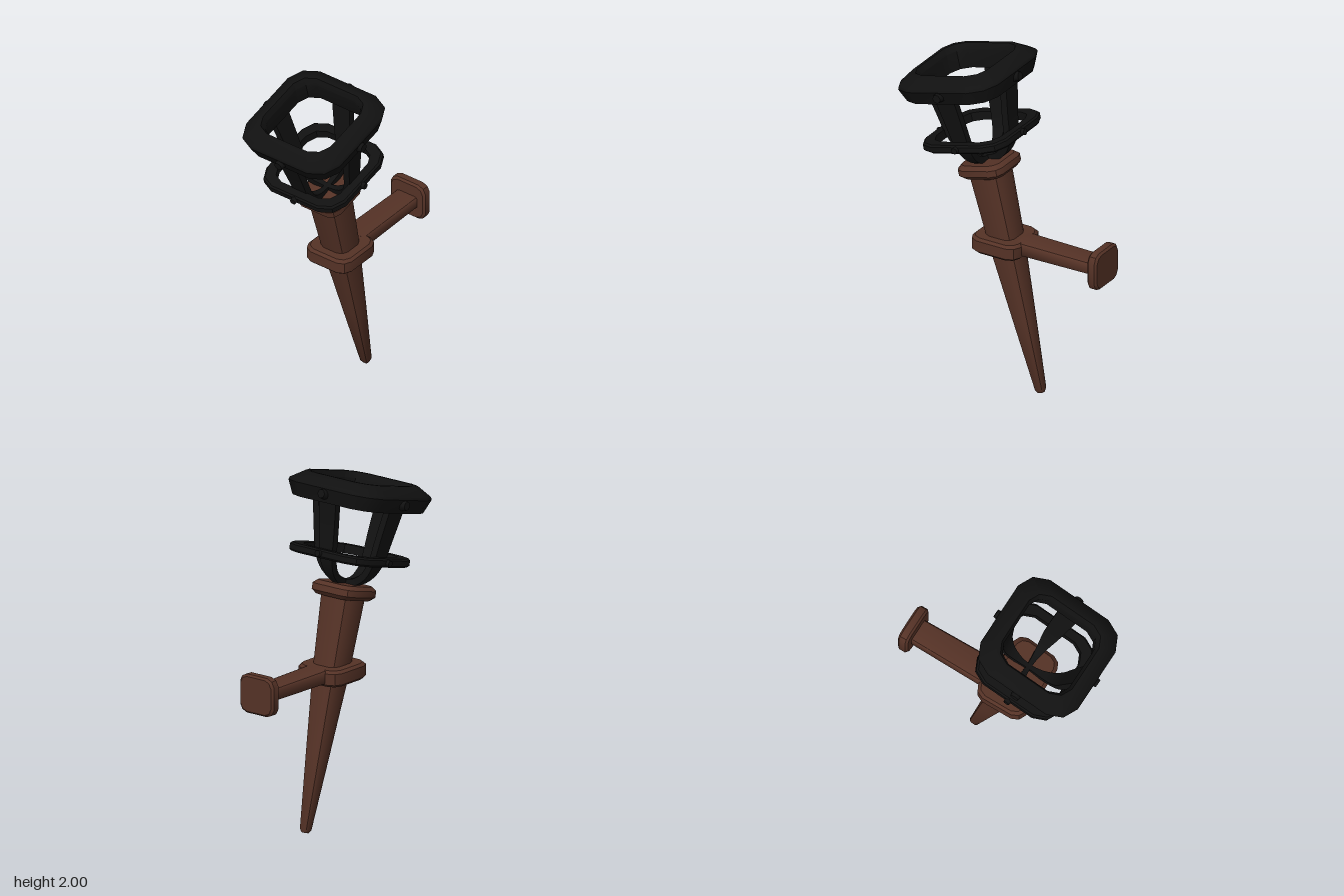
import * as THREE from 'three';
import { toCreasedNormals } from 'three/addons/utils/BufferGeometryUtils.js';

const wood = new THREE.MeshStandardMaterial({ color: 0x553226 });
const iron = new THREE.MeshStandardMaterial({ color: 0x111111 });

// Skin a list of equally sized cross-section loops
function skin(loops) {
  const n = loops[0].length, pos = [], index = [];
  loops.forEach(loop => loop.forEach(p => pos.push(p.x, p.y, p.z)));
  for (let i = 0; i < loops.length - 1; i++) {
    for (let j = 0; j < n; j++) {
      const k = (j + 1) % n, a = i * n + j, b = i * n + k;
      index.push(a, b, b + n, a, b + n, a + n);
    }
  }
  const g = new THREE.BufferGeometry();
  g.setAttribute('position', new THREE.Float32BufferAttribute(pos, 3));
  g.setIndex(index);
  return toCreasedNormals(g, 0.65);
}

// Square outline with two-step chamfered corners; c is the flat share of a side
function square(y, half, c = 0.6) {
  const m = c + (1 - c) * 0.68, pts = [];
  for (let q = 0; q < 4; q++) {
    const a = q * Math.PI / 2;
    for (const [x, z] of [[-c, 1], [c, 1], [m, m]]) {
      pts.push(new THREE.Vector3(
        half * (x * Math.cos(a) + z * Math.sin(a)), y,
        half * (z * Math.cos(a) - x * Math.sin(a))));
    }
  }
  return pts;
}

// Loft along y from [y, half width, flat share] entries
const loft = profile => skin(profile.map(s => square(...s)));

// Solid block with bevelled rims
const block = (y0, y1, half, bevel, c) => loft([
  [y0, 0, c], [y0, half - bevel, c], [y0 + bevel, half, c],
  [y1 - bevel, half, c], [y1, half - bevel, c], [y1, 0, c]]);

function add(parent, name, geometry, material) {
  const mesh = new THREE.Mesh(geometry, material);
  mesh.name = name;
  parent.add(mesh);
  return mesh;
}

// Curved cage strap, narrow at the bottom; curve points are (half width, y, z)
function strapGeometry() {
  const curve = new THREE.CatmullRomCurve3([
    [0.012, 1.405, -0.01], [0.018, 1.42, 0.07], [0.032, 1.47, 0.145], [0.045, 1.55, 0.19],
    [0.053, 1.68, 0.218], [0.062, 1.89, 0.262],
  ].map(p => new THREE.Vector3(...p)));
  const loops = [], thick = 0.02;
  for (let i = 0; i <= 16; i++) {
    const p = curve.getPoint(i / 16), t = curve.getTangent(i / 16);
    const l = Math.hypot(t.y, t.z), ny = -t.z / l * thick, nz = t.y / l * thick;
    loops.push([[1, 1], [1, -1], [-1, -1], [-1, 1]].map(([s, o]) =>
      new THREE.Vector3(s * p.x, p.y + o * ny, p.z + o * nz)));
  }
  // close both ends
  const cap = loop => {
    const c = new THREE.Vector3();
    loop.forEach(v => c.addScaledVector(v, 0.25));
    return loop.map(() => c);
  };
  return skin([cap(loops[0]), ...loops, cap(loops[16])]);
}

export function createModel() {
  const model = new THREE.Group();
  model.name = 'wallTorch';

  // Torch leaning forward from the wall
  const torch = new THREE.Group();
  torch.name = 'torch';
  torch.position.set(0, 0.008, -0.19);
  torch.rotation.x = 0.25;
  model.add(torch);

  add(torch, 'handle', loft([
    [0, 0, 0.45], [0, 0.018, 0.45], [0.02, 0.028, 0.45], [0.45, 0.057, 0.48],
    [0.9, 0.086, 0.5], [1.36, 0.104, 0.5], [1.36, 0, 0.5]]), wood);
  add(torch, 'handleCollar', block(1.325, 1.405, 0.145, 0.022, 0.6), wood);

  // Iron basket
  const basket = new THREE.Group();
  basket.name = 'basket';
  torch.add(basket);
  add(basket, 'topRing', loft([
    [1.85, 0.225], [1.85, 0.298], [1.93, 0.327], [1.945, 0.322],
    [1.995, 0.255], [1.995, 0.235], [1.96, 0.218], [1.85, 0.225]]), iron);
  add(basket, 'lowerRing', loft([
    [1.54, 0.215], [1.54, 0.265], [1.55, 0.274], [1.58, 0.274],
    [1.59, 0.265], [1.59, 0.215], [1.54, 0.215]]), iron);

  const strap = strapGeometry();
  const bigStud = new THREE.CylinderGeometry(0.025, 0.033, 0.04, 8).rotateX(Math.PI / 2);
  const smallStud = new THREE.CylinderGeometry(0.018, 0.022, 0.03, 8).rotateX(Math.PI / 2);
  for (let i = 0; i < 4; i++) {
    const side = new THREE.Group();
    side.name = 'basketSide' + (i + 1);
    side.rotation.y = i * Math.PI / 2;
    add(side, 'strap', strap, iron);
    add(side, 'topStud', bigStud, iron).position.set(0, 1.9, 0.323);
    add(side, 'lowerStud', smallStud, iron).position.set(0, 1.565, 0.277);
    basket.add(side);
  }

  // Level wall bracket
  const bracket = new THREE.Group();
  bracket.name = 'bracket';
  model.add(bracket);
  const clamp = add(bracket, 'clamp', block(0.843, 0.937, 0.15, 0.015, 0.6), wood);
  clamp.position.z = 0.045;
  clamp.scale.z = 1.03;

  const arm = add(bracket, 'arm', loft([
    [0, 0, 0.7], [0, 0.078, 0.7], [0.5, 0.071, 0.7], [0.5, 0, 0.7]]), wood);
  arm.rotation.x = -Math.PI / 2;
  arm.scale.z = 0.52;
  arm.position.set(0, 0.897, -0.07);

  const plate = add(bracket, 'wallPlate', block(0, 0.063, 0.12, 0.012, 0.6), wood);
  plate.rotation.x = -Math.PI / 2;
  plate.scale.z = 0.93;
  plate.position.set(0, 0.9, -0.557);

  return model;
}
